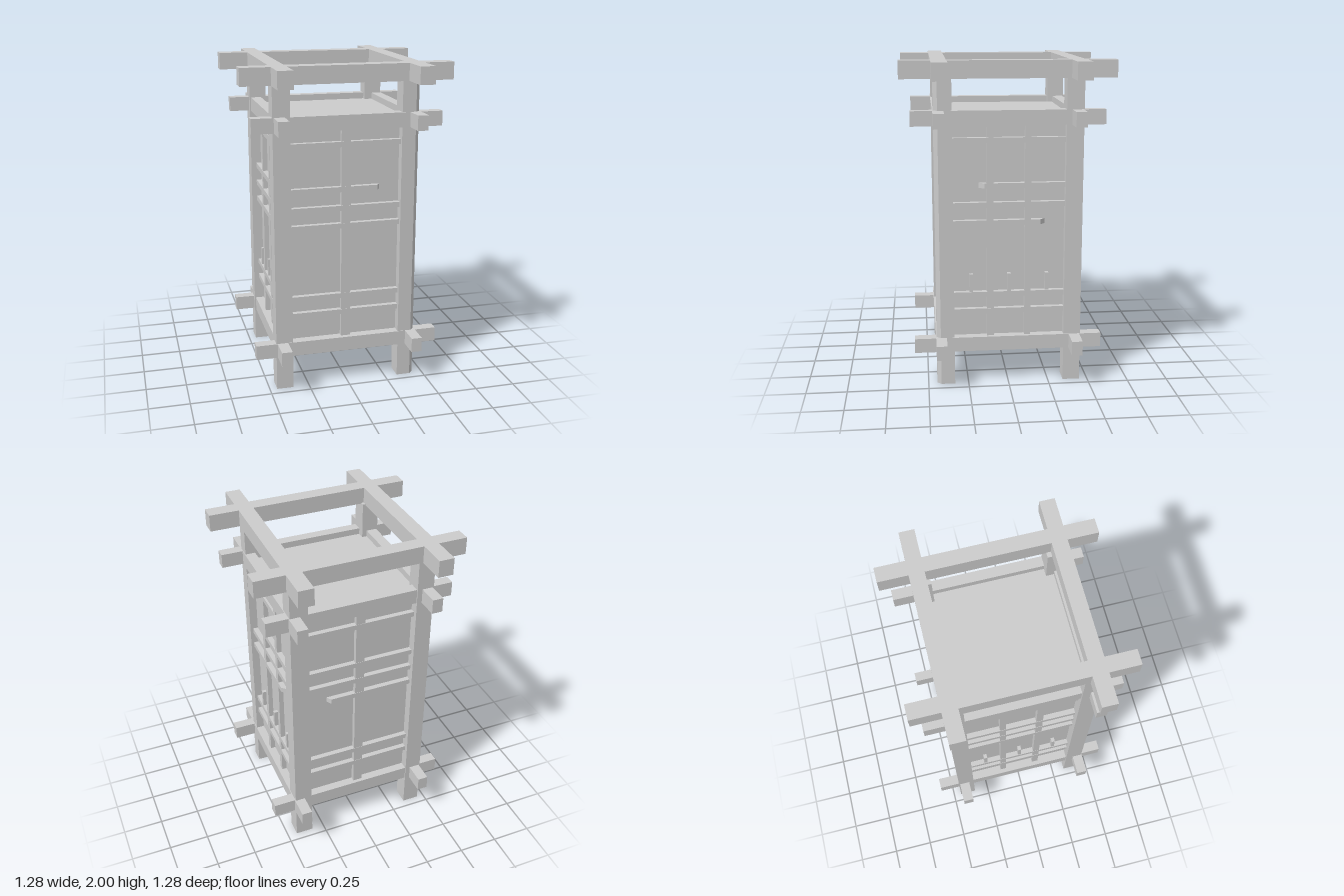
import * as THREE from 'three';

const material = new THREE.MeshStandardMaterial({ color: 0xcccccc, flatShading: true });

// Axis-aligned block given by its limits
function block(parent, name, x0, x1, y0, y1, z0, z1) {
  const mesh = new THREE.Mesh(new THREE.BoxGeometry(x1 - x0, y1 - y0, z1 - z0), material);
  mesh.position.set((x0 + x1) / 2, (y0 + y1) / 2, (z0 + z1) / 2);
  mesh.name = name;
  parent.add(mesh);
}

// Upright prism with an outline in x and z
function prism(parent, name, points, y0, y1) {
  const shape = new THREE.Shape(points.map(([x, z]) => new THREE.Vector2(x, z)));
  const geometry = new THREE.ExtrudeGeometry(shape, { depth: y1 - y0, bevelEnabled: false });
  geometry.rotateX(Math.PI / 2);
  geometry.translate(0, y1, 0);
  const mesh = new THREE.Mesh(geometry, material);
  mesh.name = name;
  parent.add(mesh);
}

// Four crossing beams with projecting ends
function beamFrame(parent, name, y0, y1, reach, left, right, back, front) {
  const frame = new THREE.Group();
  frame.name = name;
  for (const [z0, z1] of [back, front]) block(frame, 'crossBeam', -reach, reach, y0, y1, z0, z1);
  for (const [x0, x1] of [left, right]) block(frame, 'sideBeam', x0, x1, y0, y1, -reach, reach);
  parent.add(frame);
}

const PANEL = 0.39;   // distance of the panels from the centre
const SLAT = 0.422;   // outer face of the slats
const slatHeights = [1.53, 1.255, 1.138, 1.027, 0.575, 0.467];

// Lattice of one side, built facing +z and turned into place.
// cut maps a slat index to [start, end, start bevel, end bevel].
function lattice(parent, name, angle, u0, u1, uprights, pegs, cut) {
  const side = new THREE.Group();
  side.name = name;
  slatHeights.forEach((y, i) => {
    const [a, b, bevelA, bevelB] = cut[i] || [u0, u1, 0, 0];
    const base = PANEL - 0.01;
    prism(side, 'slat', [[a, base], [b, base], [b, PANEL], [b - bevelB, SLAT], [a + bevelA, SLAT], [a, PANEL]],
      y - 0.016, y + 0.016);
  });
  for (const [a, b] of uprights) block(side, 'upright', a, b, 0.3, 1.63, PANEL - 0.01, SLAT - 0.002);
  for (const u of pegs) block(side, 'peg', u - 0.011, u + 0.011, 0.58, 0.703, PANEL - 0.01, SLAT - 0.004);
  side.rotation.y = angle;
  parent.add(side);
}

export function createModel() {
  const model = new THREE.Group();
  model.name = 'lantern';

  // Closed body with recessed top and floor
  block(model, 'body', -PANEL, PANEL, 0.26, 1.67, -PANEL, PANEL);

  // Corner posts, the front left one with a cut outer edge
  const posts = new THREE.Group();
  posts.name = 'posts';
  block(posts, 'post', -0.455, -0.35, 0, 1.9, 0.335, 0.445);
  block(posts, 'post', -0.455, -0.35, 0, 1.9, -0.45, -0.345);
  block(posts, 'post', 0.33, 0.44, 0, 1.9, -0.45, -0.345);
  prism(posts, 'chamferedPost',
    [[0.33, 0.335], [0.44, 0.335], [0.44, 0.42], [0.415, 0.445], [0.33, 0.445]], 0, 1.9);
  model.add(posts);

  // Beam frames
  const low = [[-0.447, -0.381], [0.378, 0.444], [-0.443, -0.377], [0.383, 0.449]];
  beamFrame(model, 'lowerFrame', 0.215, 0.305, 0.58, ...low);
  beamFrame(model, 'upperFrame', 1.62, 1.71, 0.58, ...low);
  beamFrame(model, 'topFrame', 1.895, 2, 0.64,
    [-0.46, -0.367], [0.363, 0.456], [-0.46, -0.368], [0.362, 0.455]);

  // Lattices
  const q = Math.PI / 2;
  lattice(model, 'frontLattice', 0, -0.35, 0.33, [[-0.037, 0.021]], [],
    { 1: [-0.35, 0.207, 0, 0.02] });
  lattice(model, 'backLattice', 2 * q, -0.33, 0.35, [[-0.021, 0.037]], [],
    { 3: [-0.2, 0.35, 0.02, 0] });
  lattice(model, 'leftLattice', q, -0.335, 0.345, [[-0.132, -0.09], [0.1, 0.138]], [-0.228, 0.005, 0.239],
    { 1: [-0.178, 0.345, 0.033, 0], 3: [-0.335, 0.225, 0, 0.03] });
  lattice(model, 'rightLattice', -q, -0.345, 0.335, [[-0.138, -0.1], [0.09, 0.132]], [-0.239, -0.005, 0.228], {});

  return model;
}
